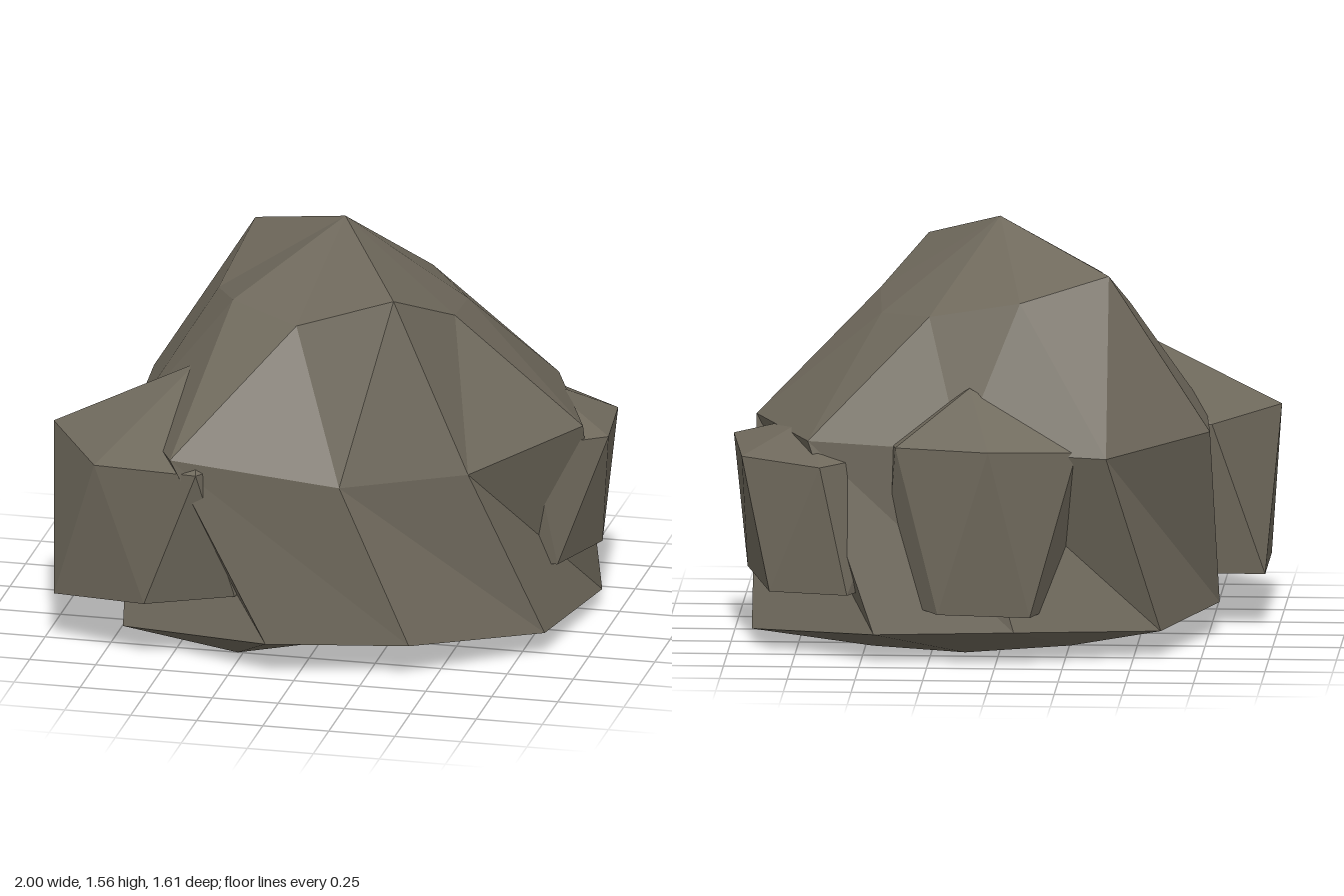
import * as THREE from 'three';

// Faceted stone from staggered rings (bottom to top), closed by a base point and a peak.
// Even rings join point i to points i - 1 and i of the ring above; odd rings to i and i + 1.
function stone(name, material, base, rings, peak) {
  const pos = [];
  const tri = (a, b, c) => pos.push(...a, ...b, ...c);
  const n = rings[0].length;
  const last = rings.length - 1;
  for (let i = 0; i < n; i++) {
    const j = (i + 1) % n;
    tri(base, rings[0][i], rings[0][j]);
    for (let k = 0; k < last; k++) {
      const lo = rings[k], up = rings[k + 1];
      if (k % 2 === 0) {
        tri(lo[i], up[i], lo[j]);
        tri(lo[j], up[i], up[j]);
      } else {
        tri(lo[i], up[i], up[j]);
        tri(lo[i], up[j], lo[j]);
      }
    }
    tri(rings[last][i], peak, rings[last][j]);
  }
  const geometry = new THREE.BufferGeometry();
  geometry.setAttribute('position', new THREE.Float32BufferAttribute(pos, 3));
  geometry.computeVertexNormals();
  const mesh = new THREE.Mesh(geometry, material);
  mesh.name = name;
  return mesh;
}

export function createModel() {
  const group = new THREE.Group();
  group.name = 'rock';
  const rock = new THREE.MeshStandardMaterial({ color: 0x6f695c, flatShading: true });
  rock.name = 'warm grey stone';

  // Large central boulder: underside, foot, shoulder and crown rings.
  // The shoulder and crown start one point further round, which twists the side facets.
  group.add(stone('mainBoulder', rock, [-0.04, 0.05, 0], [
    [[0.47, 0.06, 0], [0.4, 0.06, 0.33], [0.1, 0.06, 0.45], [-0.27, 0, 0.5], [-0.53, 0.02, 0.2],
      [-0.5, 0.05, -0.18], [-0.27, 0.05, -0.53], [0.12, 0.02, -0.53], [0.47, 0.01, -0.36]],
    [[0.84, 0.09, 0.28], [0.41, 0.13, 0.64], [-0.11, 0.13, 0.74], [-0.71, 0.06, 0.48], [-0.79, 0.12, 0],
      [-0.6, 0.1, -0.49], [-0.07, 0.13, -0.72], [0.45, 0.11, -0.68], [0.92, 0.06, -0.31]],
    [[0.59, 0.75, 0.45], [0.16, 0.75, 0.7], [-0.46, 0.84, 0.79], [-0.73, 0.8, 0.22], [-0.77, 0.81, -0.28],
      [-0.41, 0.78, -0.7], [0.13, 0.8, -0.67], [0.7, 0.81, -0.55], [0.92, 0.81, 0]],
    [[0.31, 1.41, 0.46], [-0.06, 1.28, 0.45], [-0.34, 1.3, 0.28], [-0.46, 1.24, 0], [-0.4, 1.4, -0.34],
      [-0.08, 1.32, -0.48], [0.26, 1.25, -0.39], [0.45, 1.22, -0.15], [0.47, 1.26, 0.15]],
  ], [0.02, 1.56, 0]));

  // Smaller stones sunk into the sides
  group.add(stone('frontRightStone', rock, [-0.5, 0.22, 0.36], [
    [[-0.25, 0.27, 0.64], [-0.57, 0.25, 0.74], [-0.95, 0.2, 0.57],
      [-0.95, 0.2, 0.14], [-0.5, 0.22, 0.05], [-0.1, 0.25, 0.2]],
    [[-0.36, 0.79, 0.8], [-0.77, 0.76, 0.69], [-1, 0.8, 0.36],
      [-0.76, 0.78, 0.03], [-0.3, 0.8, 0], [-0.05, 0.8, 0.36]],
  ], [-0.46, 1.07, 0.36]));

  group.add(stone('leftStone', rock, [0.65, 0.27, -0.28], [
    [[0.94, 0.28, -0.23], [0.83, 0.27, 0.03], [0.45, 0.27, 0.05],
      [0.35, 0.27, -0.35], [0.55, 0.25, -0.65], [0.84, 0.25, -0.58]],
    [[1, 0.75, -0.07], [0.75, 0.75, 0.1], [0.4, 0.75, 0],
      [0.35, 0.75, -0.4], [0.65, 0.73, -0.66], [0.95, 0.73, -0.44]],
  ], [0.7, 0.86, -0.3]));

  group.add(stone('backStone', rock, [0.12, 0.2, -0.5], [
    [[0.42, 0.22, -0.5], [0.3, 0.22, -0.3], [0, 0.2, -0.3],
      [-0.23, 0.2, -0.5], [-0.13, 0.19, -0.74], [0.21, 0.2, -0.75]],
    [[0.43, 0.8, -0.35], [0.2, 0.8, -0.2], [-0.15, 0.8, -0.3],
      [-0.3, 0.8, -0.68], [0.02, 0.82, -0.81], [0.37, 0.81, -0.67]],
  ], [0.1, 1.02, -0.58]));

  return group;
}
